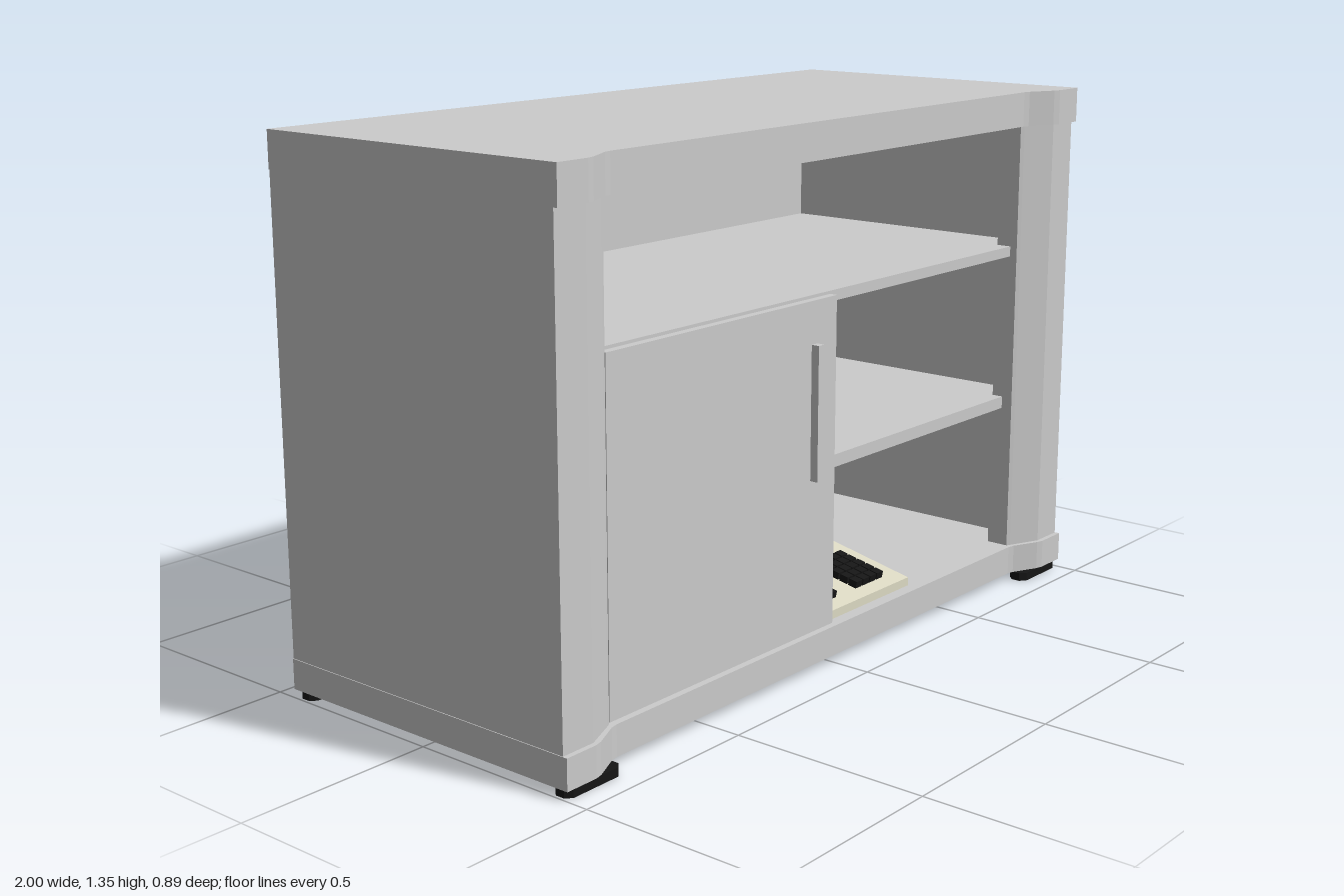
import * as THREE from 'three';
import { mergeGeometries } from 'three/addons/utils/BufferGeometryUtils.js';

const mat = (color, extra = {}) => new THREE.MeshStandardMaterial({ color, ...extra });
const grey = mat(0xcccccc);
const cream = mat(0xdddac4);
const dark = mat(0x33322b);
const black = mat(0x161616);

function add(parent, name, geometry, material = grey) {
  const mesh = new THREE.Mesh(geometry, material);
  mesh.name = name;
  parent.add(mesh);
  return mesh;
}

// Box given by its minimum and maximum on each axis
function span(x0, x1, y0, y1, z0, z1) {
  return new THREE.BoxGeometry(x1 - x0, y1 - y0, z1 - z0)
    .translate((x0 + x1) / 2, (y0 + y1) / 2, (z0 + z1) / 2);
}

const shapeOf = pts => new THREE.Shape(pts.map(p => new THREE.Vector2(...p)));
const extrude = (shape, depth) =>
  new THREE.ExtrudeGeometry(shape, { depth, bevelEnabled: false, curveSegments: 6 });

// Plan outline given as [x, z], raised from y0 to y1
function slab(pts, y0, y1) {
  return extrude(shapeOf(pts.map(([x, z]) => [x, -z])), y1 - y0)
    .rotateX(-Math.PI / 2).translate(0, y0, 0);
}

// Symmetric trapezoid: half widths at the bottom and top
const trapezoid = (b, t, y0, y1) => [[-b, y0], [b, y0], [t, y1], [-t, y1]];

function roundedPath(hw, y0, y1, r) {
  const p = new THREE.Path();
  p.moveTo(-hw + r, y0);
  p.lineTo(hw - r, y0).quadraticCurveTo(hw, y0, hw, y0 + r);
  p.lineTo(hw, y1 - r).quadraticCurveTo(hw, y1, hw - r, y1);
  p.lineTo(-hw + r, y1).quadraticCurveTo(-hw, y1, -hw, y1 - r);
  p.lineTo(-hw, y0 + r).quadraticCurveTo(-hw, y0, -hw + r, y0);
  return p;
}

// Flat-sided shell through four-cornered sections [bottom, top, y0, y1, z], front to back
function loft(sections) {
  const rings = sections.map(([b, t, y0, y1, z]) => trapezoid(b, t, y0, y1).map(p => [...p, z]));
  const pos = [];
  const quad = (a, b, c, d) => pos.push(...a, ...b, ...c, ...a, ...c, ...d);
  for (let i = 0; i < rings.length - 1; i++) {
    for (let j = 0; j < 4; j++) {
      const k = (j + 1) % 4;
      quad(rings[i][j], rings[i + 1][j], rings[i + 1][k], rings[i][k]);
    }
  }
  const [a, b, c, d] = rings[rings.length - 1];
  quad(d, c, b, a);
  const g = new THREE.BufferGeometry();
  g.setAttribute('position', new THREE.Float32BufferAttribute(pos, 3));
  g.computeVertexNormals();
  return g;
}

function createCabinet() {
  const cabinet = new THREE.Group();
  cabinet.name = 'cabinet';

  // Top and base share one outline with a recessed front
  const plan = [[-1, -0.445], [1, -0.445], [1, 0.445], [0.91, 0.445], [0.89, 0.44],
    [0.82, 0.407], [0.8, 0.403], [-0.8, 0.403], [-0.82, 0.407], [-0.89, 0.44],
    [-0.91, 0.445], [-1, 0.445]].reverse();
  add(cabinet, 'top', slab(plan, 1.255, 1.345));
  add(cabinet, 'base', slab(plan, 0.022, 0.098));

  // Side walls with wider front pillars
  const side = [[0.91, -0.445], [0.998, -0.445], [0.998, 0.432], [0.905, 0.432],
    [0.82, 0.395], [0.81, 0.39], [0.81, 0.33], [0.91, 0.33]];
  add(cabinet, 'leftSide', slab(side, 0.098, 1.255));
  add(cabinet, 'rightSide', slab(side.map(([x, z]) => [-x, z]), 0.098, 1.255));

  add(cabinet, 'backPanel', span(-0.91, 0.91, 0.098, 1.25, -0.437, -0.41));
  add(cabinet, 'upperShelf', span(-0.91, 0.91, 0.905, 0.932, -0.41, 0.33));
  add(cabinet, 'upperShelfEdge', span(-0.81, 0.81, 0.905, 0.932, 0.33, 0.37));
  add(cabinet, 'middleShelf', span(0, 0.91, 0.485, 0.517, -0.41, 0.33));
  add(cabinet, 'middleShelfEdge', span(0, 0.81, 0.485, 0.517, 0.33, 0.36));
  add(cabinet, 'divider', span(-0.035, -0.003, 0.098, 0.905, -0.41, 0.36));

  // Sliding door with a bar handle
  add(cabinet, 'door', span(-0.81, 0, 0.102, 0.925, 0.372, 0.392));
  add(cabinet, 'doorHandle', span(-0.097, -0.076, 0.487, 0.82, 0.392, 0.413));

  // Feet with clipped corners
  for (const x of [-0.907, 0.907]) {
    for (const z of [-0.415, 0.415]) {
      const foot = [[-0.085, -0.012], [-0.07, -0.026], [0.07, -0.026], [0.085, -0.012],
        [0.085, 0.012], [0.07, 0.026], [-0.07, 0.026], [-0.085, 0.012]];
      add(cabinet, 'foot', slab(foot.reverse(), 0, 0.022), black).position.set(x, 0, z);
    }
  }
  return cabinet;
}

function createComputer() {
  const computer = new THREE.Group();
  computer.name = 'computer';

  // Lower case: side profile as [z, y], swept across the width
  const profile = [[-0.35, 0.09], [0.37, 0.09], [0.37, 0.12], [0.1, 0.175], [0.035, 0.27], [-0.33, 0.27]];
  add(computer, 'lowerCase',
    extrude(shapeOf(profile), 0.72).rotateY(-Math.PI / 2).translate(0.36, 0, 0), cream);
  const pan = shapeOf([[-0.348, 0.006], [0.352, 0.006], [0.362, 0.09], [-0.348, 0.09]]);
  add(computer, 'bottomPan',
    extrude(pan, 0.7).rotateY(-Math.PI / 2).translate(0.35, 0, 0), dark);
  add(computer, 'rearLip', span(-0.35, 0.35, 0.009, 0.09, -0.356, -0.348), cream);

  // Dark panel on the slope behind the keys
  const panel = add(computer, 'slopePanel',
    extrude(shapeOf(trapezoid(0.325, 0.305, 0.006, 0.1)), 0.005), dark);
  panel.position.set(0, 0.175, 0.1);
  panel.rotation.x = -Math.atan2(0.065, 0.095);

  // Main key block and number pad
  const keys = [];
  const keyBlock = (x0, x1, columns) => {
    const step = (x1 - x0) / columns;
    for (let c = 0; c < columns; c++) {
      for (let r = 0; r < 5; r++) {
        keys.push(new THREE.BoxGeometry(step * 0.85, 0.018, 0.024)
          .translate(x0 + step * (c + 0.5), 0.009, -0.058 + r * 0.029));
      }
    }
  };
  keyBlock(-0.28, 0.1, 12);
  keyBlock(0.18, 0.3, 4);
  const keyboard = add(computer, 'keys', mergeGeometries(keys), black);
  keyboard.position.set(0, 0.142, 0.262);
  keyboard.rotation.x = Math.atan2(0.055, 0.27);

  add(computer, 'monitorNeck', span(-0.24, 0.24, 0.27, 0.31, -0.25, 0.08), cream);

  // Monitor, leaning back slightly
  const monitor = new THREE.Group();
  monitor.name = 'monitor';
  monitor.position.set(0, 0.29, 0.125);
  monitor.rotation.x = -0.09;
  computer.add(monitor);

  add(monitor, 'monitorShell', loft([
    [0.345, 0.305, 0, 0.53, -0.03], [0.335, 0.295, 0, 0.53, -0.15],
    [0.25, 0.22, 0.03, 0.42, -0.42]]), cream);

  const frame = shapeOf(trapezoid(0.345, 0.305, 0, 0.53));
  frame.holes.push(new THREE.Path(
    trapezoid(0.322, 0.28, 0.022, 0.508).map(p => new THREE.Vector2(...p))));
  add(monitor, 'monitorFrame', extrude(frame, 0.03).translate(0, 0, -0.03), cream);

  const bezel = shapeOf(trapezoid(0.322, 0.28, 0.022, 0.508));
  bezel.holes.push(roundedPath(0.262, 0.05, 0.48, 0.05));
  add(monitor, 'bezel', extrude(bezel, 0.022).translate(0, 0, -0.03), dark);

  // Bulging screen: a grid with rounded corners, domed forward
  const screen = new THREE.PlaneGeometry(2, 2, 20, 20);
  const p = screen.attributes.position;
  for (let i = 0; i < p.count; i++) {
    const u = p.getX(i), v = p.getY(i);
    p.setXYZ(i, 0.265 * u * (1 - 0.06 * v ** 6), 0.265 + 0.218 * v * (1 - 0.06 * u ** 6),
      -0.022 + 0.045 * (1 - u ** 4) * (1 - v ** 4));
  }
  screen.computeVertexNormals();
  add(monitor, 'screen', screen, grey);

  // Vent slots down both sides
  for (const s of [-1, 1]) {
    for (let i = 0; i < 11; i++) {
      const y = 0.07 + i * 0.039;
      const slot = add(monitor, 'ventSlot', new THREE.BoxGeometry(0.004, 0.018, 0.008), dark);
      slot.position.set(s * (0.34 - 0.04 * y / 0.53), y, -0.1);
    }
  }
  return computer;
}

export function createModel() {
  const model = new THREE.Group();
  model.name = 'cabinetWithComputer';
  model.add(createCabinet(), createComputer());
  return model;
}
